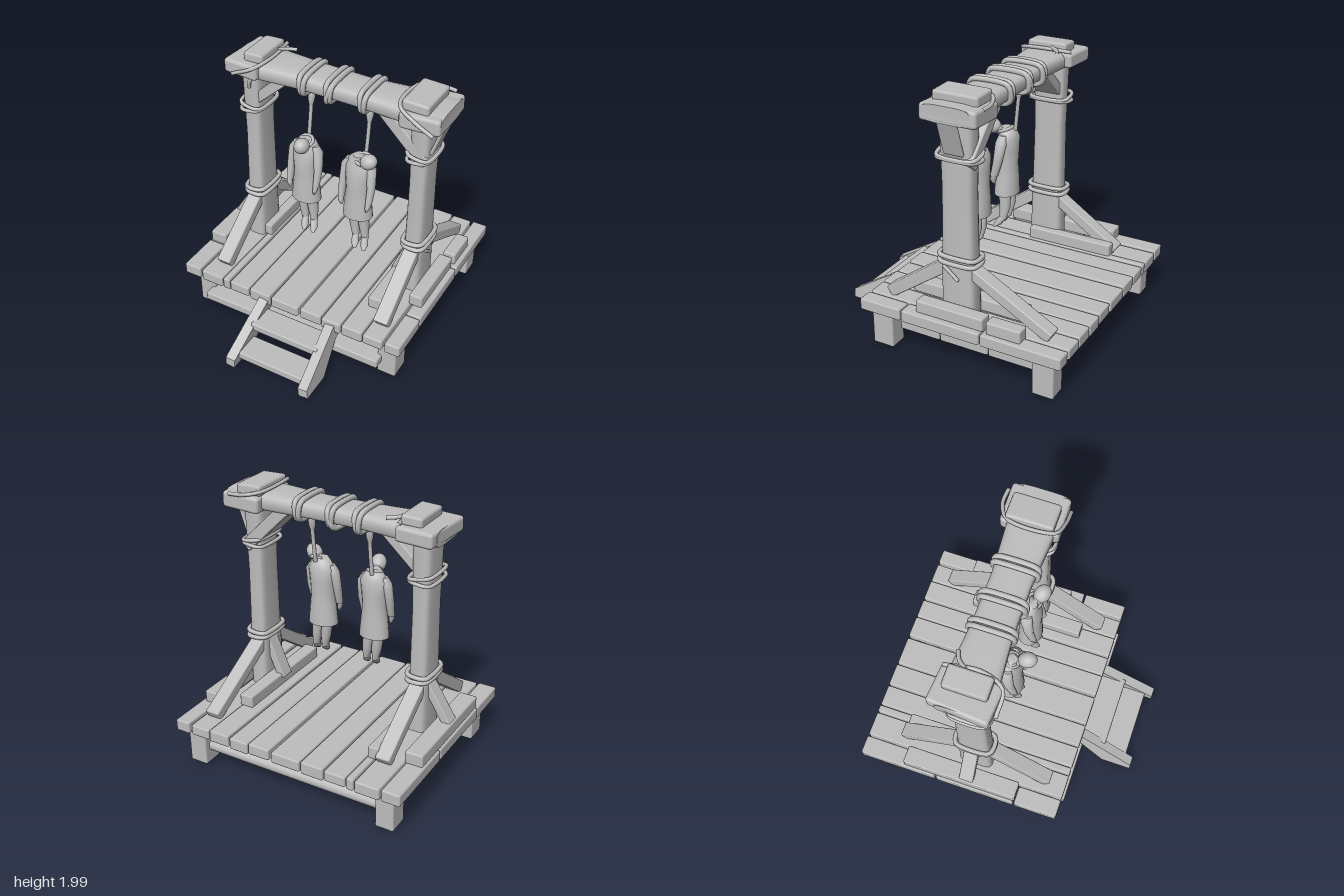
import * as THREE from 'three';
import { toCreasedNormals } from 'three/addons/utils/BufferGeometryUtils.js';
import { RoundedBoxGeometry } from 'three/addons/geometries/RoundedBoxGeometry.js';

const grey = new THREE.MeshStandardMaterial({ color: 0xbebebe });
grey.name = 'plain grey';
const V = (x, y, z) => new THREE.Vector3(x, y, z);

function add(parent, name, geometry) {
  const mesh = new THREE.Mesh(geometry, grey);
  mesh.name = name;
  parent.add(mesh);
  return mesh;
}

// Bevelled block given by its limits on each axis
function block(parent, name, [x0, x1], [y0, y1], [z0, z1], r = 0.012, segs = 1) {
  const m = add(parent, name, new RoundedBoxGeometry(x1 - x0, y1 - y0, z1 - z0, segs, r));
  m.position.set((x0 + x1) / 2, (y0 + y1) / 2, (z0 + z1) / 2);
  return m;
}

// Sloping timber from a to b; depth is measured along the given axis
function timber(parent, name, a, b, width, depth, depthAxis) {
  const dir = b.clone().sub(a);
  const m = add(parent, name, new RoundedBoxGeometry(width, dir.length(), depth, 1, 0.01));
  dir.normalize();
  const side = dir.clone().cross(depthAxis).normalize();
  m.quaternion.setFromRotationMatrix(new THREE.Matrix4().makeBasis(side, dir, side.clone().cross(dir)));
  m.position.copy(a).add(b).multiplyScalar(0.5);
  return m;
}

// Skin over cross-sections [y, cx, cz, rx, rz]; power above 2 gives squarer sections
function loft(sections, n = 16, power = 2) {
  const first = sections[0], last = sections[sections.length - 1];
  const rings = [[...first.slice(0, 3), 0, 0], ...sections, [...last.slice(0, 3), 0, 0]];
  const pos = [], index = [];
  const bend = (v) => Math.sign(v) * Math.abs(v) ** (2 / power);
  for (const [y, cx, cz, rx, rz] of rings)
    for (let j = 0; j < n; j++) {
      const a = ((j + 0.5) / n) * Math.PI * 2;
      pos.push(cx + rx * bend(Math.cos(a)), y, cz + rz * bend(Math.sin(a)));
    }
  for (let i = 0; i < rings.length - 1; i++)
    for (let j = 0; j < n; j++) {
      const k = (j + 1) % n, a = i * n + j, b = i * n + k;
      index.push(a, a + n, b, b, a + n, b + n);
    }
  const g = new THREE.BufferGeometry();
  g.setAttribute('position', new THREE.Float32BufferAttribute(pos, 3));
  g.setIndex(index);
  return toCreasedNormals(g, 0.8);
}

function rope(parent, name, points, radius = 0.014, closed = false) {
  const curve = new THREE.CatmullRomCurve3(points, closed);
  return add(parent, name, new THREE.TubeGeometry(curve, points.length * 5, radius, 8, closed));
}

// Squarish rope loop of half sizes u, v around an upright post or a level beam
function ropeLoop(parent, name, c, u, v, upright, tilt = 0, radius = 0.017) {
  const pts = [];
  for (let i = 0; i < 12; i++) {
    const a = ((i + 0.5) / 12) * Math.PI * 2;
    const p = Math.sign(Math.cos(a)) * Math.abs(Math.cos(a)) ** 0.5 * u;
    const q = Math.sign(Math.sin(a)) * Math.abs(Math.sin(a)) ** 0.5 * v;
    pts.push(upright ? V(c.x + p, c.y + p * tilt, c.z + q) : V(c.x + p * tilt, c.y + p, c.z + q));
  }
  rope(parent, name, pts, radius, true);
}

const X = V(1, 0, 0), Z = V(0, 0, 1);

function buildPlatform(g) {
  // Deck planks running front to back; the outer ones are in three lengths
  const planks = [[-0.755, -0.57], [-0.562, -0.507], [-0.498, -0.335], [-0.325, -0.15], [-0.138, 0.09],
    [0.11, 0.28], [0.288, 0.44], [0.452, 0.615], [0.622, 0.775]];
  planks.forEach((x, i) => block(g, 'deckPlank', x, [0.275 + (i % 3) * 0.005, 0.365 + (i % 2) * 0.006], [-1, 0.575]));
  for (const x of [[-0.91, -0.77], [0.795, 0.912]])
    for (const z of [[-1, -0.4], [-0.39, 0.23], [0.24, 0.575]]) block(g, 'edgePlank', x, [0.28, 0.37], z);

  // Feet, low shelf and rear rail
  for (const x of [[-0.83, -0.69], [0.715, 0.86]])
    for (const z of [[0.34, 0.51], [-0.93, -0.77]]) block(g, 'platformLeg', x, [0, 0.29], z);
  for (const z of [[0.02, 0.59], [-0.37, 0.015], [-0.77, -0.375]])
    block(g, 'shelfBoard', [-0.72, 0.75], [0.1, 0.17], z);
  const rail = add(g, 'rearRail', new THREE.CylinderGeometry(0.05, 0.05, 1.5, 12));
  rail.rotation.z = Math.PI / 2;
  rail.position.set(0, 0.135, -0.84);
  timber(g, 'frontStrut', V(-0.72, 0.06, 0.43), V(-0.39, 0.3, 0.43), 0.06, 0.07, Z);
  timber(g, 'frontStrut', V(0.75, 0.08, 0.43), V(0.45, 0.3, 0.43), 0.07, 0.07, Z);
}

function buildSteps(g) {
  // Sloping stringers with two treads
  const shape = new THREE.Shape([[0.5, 0.24], [0.575, 0.2], [0.77, 0], [1, 0], [1, 0.07], [0.58, 0.33], [0.5, 0.33]]
    .map(([z, y]) => new THREE.Vector2(-z, y)));
  const geo = new THREE.ExtrudeGeometry(shape, { depth: 0.075, bevelEnabled: false });
  geo.rotateY(Math.PI / 2);
  for (const [x, lean] of [[-0.27, 0.1], [0.35, -0.09]]) {
    const m = add(g, 'stairStringer', geo);
    m.position.x = x;
    m.rotation.z = -lean;
  }
  block(g, 'stairTread', [-0.2, 0.36], [0.17, 0.235], [0.56, 0.76]);
  block(g, 'stairTread', [-0.22, 0.37], [0.035, 0.1], [0.74, 0.94]);
}

function buildPosts(g) {
  for (const [x, back] of [[-0.64, -0.76], [0.695, -0.87]]) {
    add(g, 'post', loft([[0.36, x, -0.14, 0.073, 0.13], [0.9, x, -0.14, 0.068, 0.12],
      [1.3, x, -0.14, 0.065, 0.115], [1.85, x, -0.14, 0.072, 0.125]], 16, 5));
    timber(g, 'frontBrace', V(x, 0.38, 0.43), V(x, 0.73, -0.06), 0.09, 0.11, X);
    timber(g, 'backBrace', V(x, 0.38, back + 0.03), V(x, 0.73, -0.2), 0.08, 0.11, X);
    [0.77, 0.81].forEach((y, i) => ropeLoop(g, 'postRope', V(x, y, -0.14), 0.085, 0.145, true, i * 0.1 - 0.05));
    [1.515, 1.55].forEach((y, i) => ropeLoop(g, 'braceRope', V(x, y, -0.14), 0.09, 0.15, true, 0.12 - i * 0.3, 0.014));
  }
  timber(g, 'sideBrace', V(-0.87, 0.42, -0.15), V(-0.66, 0.76, -0.15), 0.06, 0.11, Z);
  timber(g, 'sideBrace', V(0.53, 0.42, -0.15), V(0.66, 0.74, -0.15), 0.06, 0.11, Z);
  timber(g, 'ropeStick', V(0.785, 0.75, -0.05), V(0.785, 0.65, -0.17), 0.025, 0.025, X);

  // Timbers bedding the posts on the deck
  block(g, 'footTimber', [-0.895, -0.76], [0.365, 0.46], [-0.65, 0.24]);
  block(g, 'footTimber', [-0.595, -0.515], [0.365, 0.46], [-0.72, -0.04]);
  block(g, 'footTimber', [0.52, 0.63], [0.365, 0.46], [-0.6, 0.3]);
  block(g, 'footTimber', [0.78, 0.88], [0.365, 0.46], [-0.69, -0.43]);
  block(g, 'footTimber', [0.765, 0.87], [0.365, 0.46], [-0.4, 0.13]);

  // Knee braces below the beam
  timber(g, 'kneeBrace', V(-0.69, 1.52, -0.14), V(-0.36, 1.82, -0.14), 0.075, 0.2, Z);
  timber(g, 'kneeBrace', V(0.75, 1.49, -0.15), V(0.42, 1.82, -0.15), 0.09, 0.26, Z);
  timber(g, 'outerKneeBrace', V(0.765, 1.56, -0.14), V(0.86, 1.84, -0.14), 0.025, 0.15, Z);
}

function buildBeam(g) {
  // Main beam, thinner in the middle; sections are laid along x
  const beam = loft([[-0.78, -1.855, -0.14, 0.06, 0.18], [-0.5, -1.855, -0.14, 0.065, 0.17],
    [-0.2, -1.855, -0.14, 0.062, 0.145], [0.2, -1.85, -0.14, 0.062, 0.14],
    [0.56, -1.855, -0.14, 0.066, 0.165], [0.87, -1.86, -0.14, 0.06, 0.18]], 16, 4);
  beam.rotateZ(-Math.PI / 2);
  add(g, 'crossBeam', beam);

  // End blocks and cap boards
  block(g, 'beamEndBlock', [-0.79, -0.51], [1.81, 1.92], [-0.37, 0.06], 0.025, 2).rotation.y = -0.08;
  block(g, 'beamEndBlock', [0.57, 0.87], [1.79, 1.91], [-0.36, 0.06], 0.025, 2).rotation.z = 0.04;
  block(g, 'capBoard', [-0.67, -0.51], [1.91, 1.985], [-0.31, 0], 0.02).rotation.z = 0.04;
  block(g, 'capBoard', [0.57, 0.77], [1.9, 1.98], [-0.32, 0.02], 0.02).rotation.z = -0.04;

  // Lashings
  rope(g, 'endRope', [V(-0.72, 1.83, 0.07), V(-0.55, 1.91, 0.06), V(-0.49, 1.94, -0.1), V(-0.52, 1.93, -0.35)]);
  rope(g, 'endRope', [V(-0.51, 1.95, -0.2), V(-0.46, 1.94, -0.26), V(-0.4, 1.935, -0.29)]);
  rope(g, 'endRope', [V(0.83, 1.8, 0.07), V(0.7, 1.87, 0.07), V(0.57, 1.94, 0.03), V(0.57, 1.94, -0.3), V(0.68, 1.92, -0.37), V(0.8, 1.91, -0.37)]);
  rope(g, 'looseRope', [V(-0.6, 1.8, 0.0), V(-0.62, 1.76, 0.01), V(-0.63, 1.71, 0)]);
  for (const x of [-0.185, 0.025, 0.285])
    for (const s of [-1, 1])
      ropeLoop(g, 'beamRope', V(x + s * 0.014, 1.85, -0.14), 0.078, 0.155, false, s * 0.12, 0.02);
  ropeLoop(g, 'beamRope', V(0.025, 1.845, -0.14), 0.08, 0.16, false, 0.3, 0.02);
}

function buildFigure(g, x, headX, headZ, ropeX) {
  const f = new THREE.Group();
  f.name = 'hangingFigure';
  g.add(f);
  const z = -0.02;

  // Long coat with a flared skirt
  add(f, 'coat', loft([[0.9, x, z, 0.115, 0.09], [1.05, x, z, 0.1, 0.085], [1.14, x, z, 0.09, 0.08],
    [1.25, x, z, 0.098, 0.085], [1.34, x, z - 0.01, 0.105, 0.075], [1.39, x, z - 0.01, 0.075, 0.06],
    [1.42, x, z, 0.04, 0.045]], 20));
  // Arms, hands and legs
  for (const s of [-1, 1]) {
    add(f, 'sleeve', loft([[1.06, x + s * 0.11, z + 0.05, 0.024, 0.03], [1.18, x + s * 0.112, z + 0.02, 0.03, 0.037],
      [1.32, x + s * 0.1, z, 0.035, 0.045], [1.375, x + s * 0.075, z, 0.025, 0.03]], 12));
    add(f, 'hand', loft([[0.995, x + s * 0.1, z + 0.06, 0.008, 0.012], [1.03, x + s * 0.107, z + 0.06, 0.02, 0.025],
      [1.07, x + s * 0.11, z + 0.05, 0.018, 0.022]], 10));
    const lx = x + 0.012 + s * 0.038;
    add(f, 'leg', loft([[0.7, lx + 0.015, z, 0.024, 0.028], [0.8, lx, z - 0.01, 0.038, 0.042],
      [0.95, lx - 0.01, z, 0.045, 0.05]], 12));
    add(f, 'foot', loft([[0.635, lx + 0.035, z + 0.06, 0.015, 0.015], [0.66, lx + 0.028, z + 0.035, 0.028, 0.03],
      [0.72, lx + 0.013, z, 0.025, 0.032]], 12));
  }
  // Bowed neck and head
  const neck = V(x, 1.36, z), head = V(headX, 1.42, headZ);
  rope(f, 'neck', [neck, neck.clone().lerp(head, 0.5), head], 0.037);
  const skull = add(f, 'head', new THREE.SphereGeometry(0.056, 20, 14));
  skull.scale.set(1, 1.25, 1.05);
  skull.position.copy(head);
  skull.quaternion.setFromUnitVectors(V(0, 1, 0), head.clone().sub(neck).normalize());

  // Rope, wound knot and noose
  rope(f, 'hangingRope', [V(ropeX, 1.8, -0.12), V(ropeX, 1.6, -0.1), V(ropeX - 0.004, 1.4, -0.08)], 0.015);
  add(f, 'ropeKnot', loft([[1.65, ropeX, -0.105, 0.016, 0.016], [1.7, ropeX, -0.11, 0.027, 0.027],
    [1.76, ropeX, -0.115, 0.027, 0.027], [1.79, ropeX, -0.12, 0.016, 0.016]], 10));
  const noose = add(f, 'noose', new THREE.TorusGeometry(0.052, 0.013, 8, 20));
  noose.position.set((x + headX) / 2 - 0.01, 1.4, -0.01);
  noose.rotation.x = Math.PI / 2 + 0.4;
}

export function createModel() {
  const model = new THREE.Group();
  model.name = 'gallows';
  const section = (name, build) => {
    const g = new THREE.Group();
    g.name = name;
    build(g);
    model.add(g);
  };
  section('platform', buildPlatform);
  section('steps', buildSteps);
  section('posts', buildPosts);
  section('beam', buildBeam);
  section('figures', (g) => {
    buildFigure(g, -0.175, -0.145, 0.09, -0.18);
    buildFigure(g, 0.255, 0.355, 0.03, 0.283);
  });
  return model;
}
